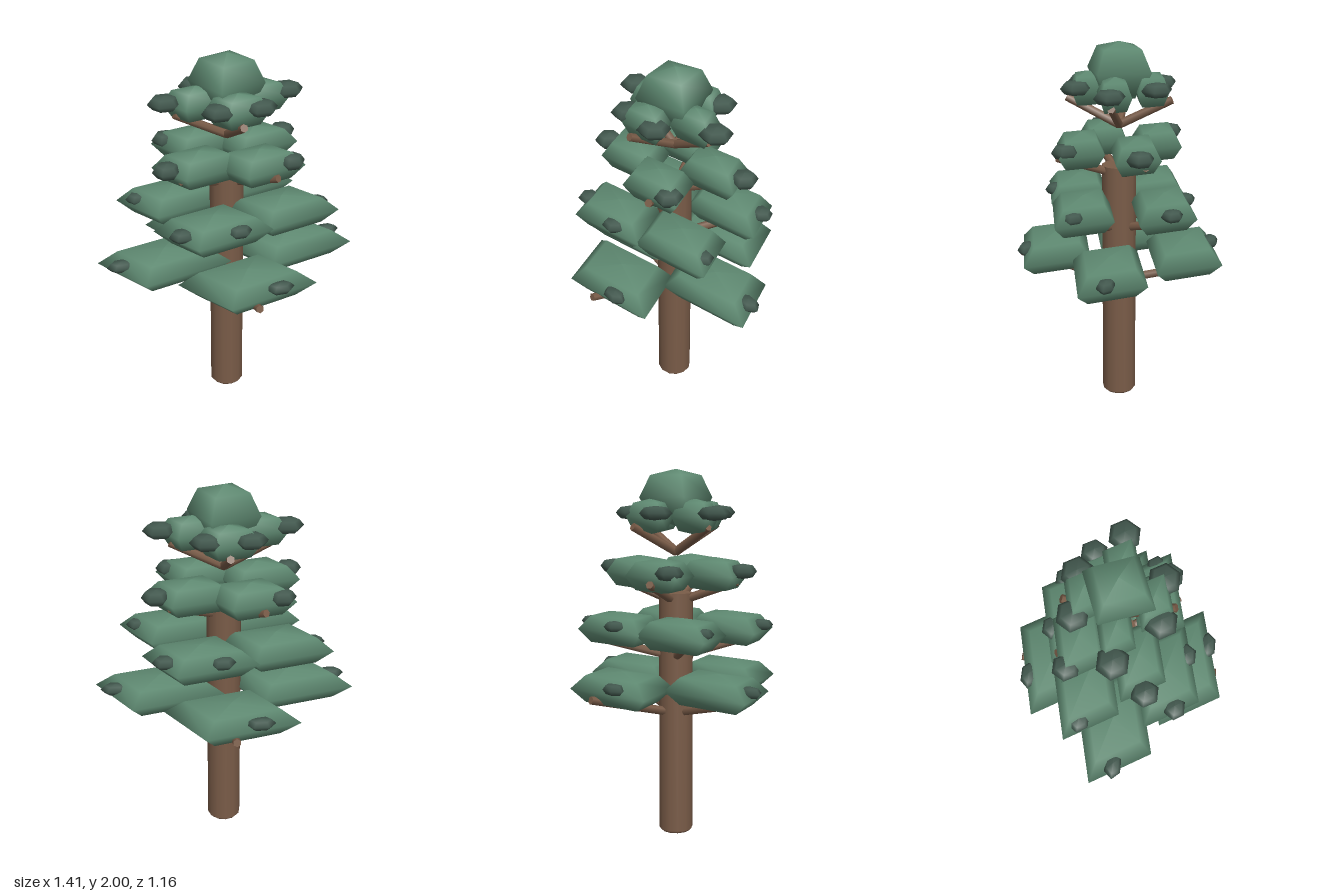
import * as THREE from 'three';

const mat = (color) => new THREE.MeshStandardMaterial({ color });
const BARK = mat(0x7a5c48), LEAF = mat(0x5f8a72), DARK = mat(0x43594f);
const V = (x, y, z) => new THREE.Vector3(x, y, z);

// Unit puff: a few rings with the given number of sides
function puffGeometry(sides, turn) {
  const profile = [[0, -1], [0.7, -0.78], [1, 0], [0.7, 0.78], [0, 1]]
    .map(([r, y]) => new THREE.Vector2(r, y));
  return new THREE.LatheGeometry(profile, sides).rotateY(turn);
}
const PAD = puffGeometry(4, -0.427), TUFT = puffGeometry(6, 0.5);

function addMesh(parent, name, geometry, material) {
  const mesh = new THREE.Mesh(geometry, material);
  mesh.name = name;
  parent.add(mesh);
  return mesh;
}

function addPuff(parent, name, geometry, material, pos, size) {
  const mesh = addMesh(parent, name, geometry, material);
  mesh.position.set(...pos);
  mesh.scale.set(...size);
}

// Tapered limb between two points
function addBranch(parent, from, to, radius) {
  const dir = to.clone().sub(from);
  const mesh = addMesh(parent, 'branch',
    new THREE.CylinderGeometry(radius * 0.9, radius, dir.length(), 6), BARK);
  mesh.position.copy(from).add(to).multiplyScalar(0.5);
  mesh.quaternion.setFromUnitVectors(V(0, 1, 0), dir.normalize());
}

// Tiers from bottom to top; tufts are mirrored through the trunk axis
const TIERS = [
  { y: 0.85, turn: 0, reach: 0.355, scale: 1, root: [0.07, 0.69], tip: [0.55, 0.81],
    tuftY: 0.88, tufts: [[0.13, 0.49], [0.6, -0.02]], tuft: [0.08, 0.03, 0.05] },
  { y: 1.145, turn: 0.54, reach: 0.3, scale: 0.85, root: [0.06, 1.0], tip: [0.44, 1.1],
    tuftY: 1.175, tufts: [[-0.34, 0.32], [0.45, 0.17], [-0.05, 0.36]], tuft: [0.07, 0.03, 0.06] },
  { y: 1.445, turn: 1.03, reach: 0.22, scale: 0.66, root: [0.04, 1.3], tip: [0.35, 1.41],
    tuftY: 1.47, tufts: [[-0.37, 0.16], [0.27, 0.24]], tuft: [0.075, 0.04, 0.075] },
  { y: 1.75, turn: 0, reach: 0.17, scale: 0.46, root: [0, 1.56], tip: [0.28, 1.7],
    tuftY: 1.77, tufts: [[0.33, 0], [0.11, 0.21], [-0.11, 0.21]], tuft: [0.09, 0.038, 0.085] },
];

export function createModel() {
  const tree = new THREE.Group();
  tree.name = 'tree';

  // Trunk with a small rounded foot and a flat top
  const side = [[0.08, 0], [0.093, 0.015], [0.093, 1.34]]
    .map(([r, y]) => new THREE.Vector2(r, y));
  addMesh(tree, 'trunk', new THREE.LatheGeometry(side, 12), BARK);
  const foot = addMesh(tree, 'trunkFoot', new THREE.CircleGeometry(0.08, 12), BARK);
  foot.rotation.x = Math.PI / 2;
  const top = addMesh(tree, 'trunkTop', new THREE.CircleGeometry(0.093, 12), BARK);
  top.rotation.x = -Math.PI / 2;
  top.position.y = 1.34;

  TIERS.forEach((t, n) => {
    const tier = new THREE.Group();
    tier.name = `tier${n + 1}`;
    tree.add(tier);

    // Four pads, each on its own limb
    for (let i = 0; i < 4; i++) {
      const a = t.turn + i * Math.PI / 2, c = Math.cos(a), s = Math.sin(a);
      addPuff(tier, 'foliagePad', PAD, LEAF, [c * t.reach, t.y, s * t.reach],
        [0.385 * t.scale, 0.093, 0.245 * t.scale]);
      addBranch(tier, V(c * t.root[0], t.root[1], s * t.root[0]),
        V(c * t.tip[0], t.tip[1], s * t.tip[0]), 0.024);
    }

    // Dark tufts along the outer rim
    for (const [x, z] of t.tufts)
      for (const m of [1, -1])
        addPuff(tier, 'darkTuft', TUFT, DARK, [x * m, t.tuftY, z * m], t.tuft);
  });

  addPuff(tree, 'crown', PAD, LEAF, [0, 1.85, 0], [0.2, 0.15, 0.2]);
  return tree;
}
